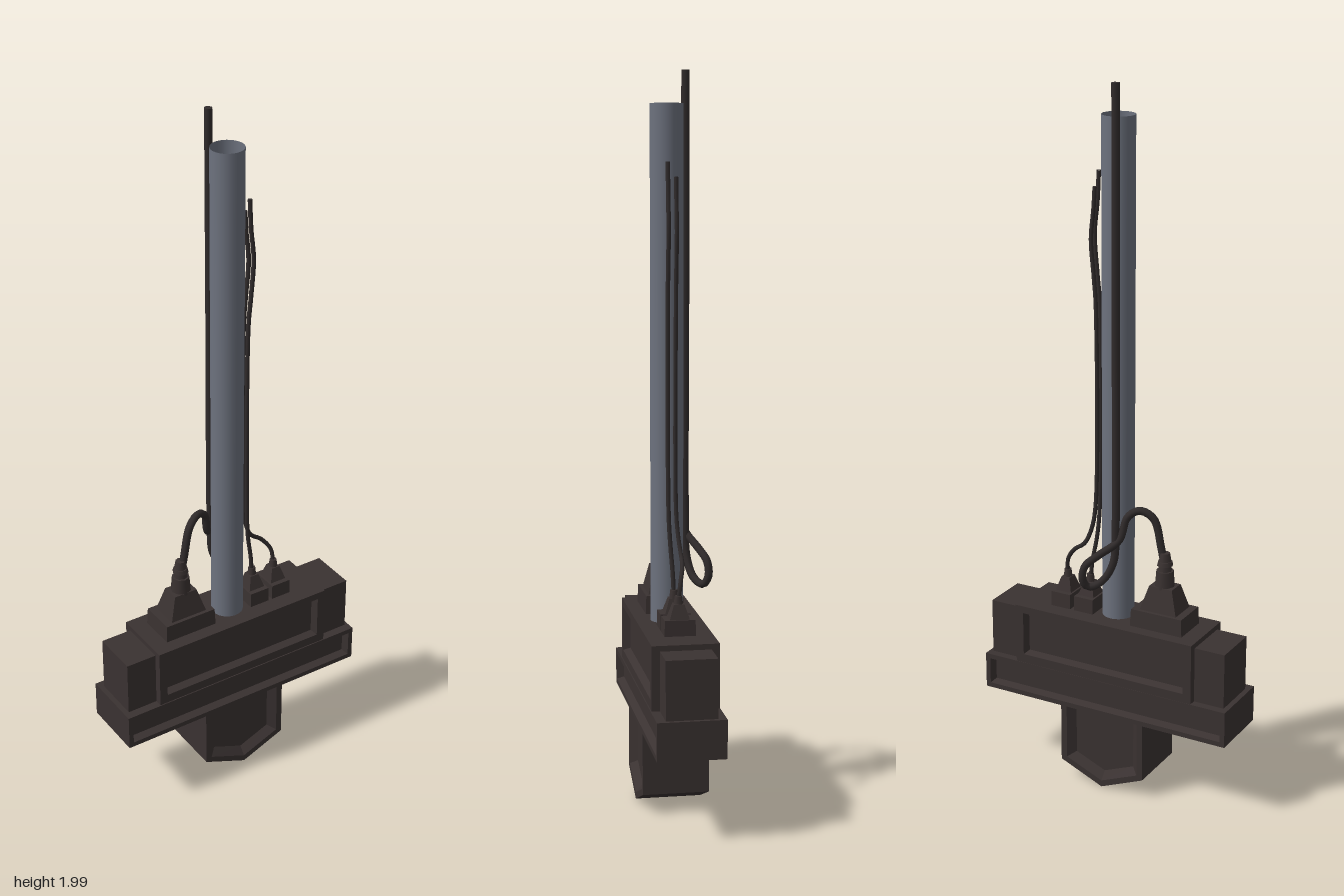
import * as THREE from 'three';

const mat = (name, color, side = THREE.FrontSide) => {
  const m = new THREE.MeshStandardMaterial({ color, side });
  m.name = name;
  return m;
};

export function createModel() {
  const group = new THREE.Group();
  const body = mat('dark housing', 0x3a3231);
  const rubber = mat('cable rubber', 0x302b2b);
  const steel = mat('grey pole', 0x6d727e, THREE.DoubleSide);

  const add = (name, geo, material, x = 0, y = 0, z = 0, parent = group) => {
    const mesh = new THREE.Mesh(geo, material);
    mesh.name = name;
    mesh.position.set(x, y, z);
    parent.add(mesh);
    return mesh;
  };

  // Box given by its limits
  const box = (name, x0, x1, y0, y1, z0, z1) =>
    add(name, new THREE.BoxGeometry(x1 - x0, y1 - y0, z1 - z0), body,
      (x0 + x1) / 2, (y0 + y1) / 2, (z0 + z1) / 2);

  // Prism along z with a sunken, bevelled panel in its front and back
  const recessed = (name, outer, rim, floor, z0, z1, depth) => {
    const rings = [
      [floor, z0 + depth], [rim, z0], [outer, z0],
      [outer, z1], [rim, z1], [floor, z1 - depth],
    ].map(([pts, z]) => pts.map(([x, y]) => [x, y, z]));
    const n = outer.length, pos = [];
    const tri = (a, b, c) => pos.push(...a, ...b, ...c);
    for (let r = 0; r < rings.length - 1; r++) {
      const a = rings[r], b = rings[r + 1];
      for (let i = 0; i < n; i++) {
        const j = (i + 1) % n;
        tri(a[i], a[j], b[j]);
        tri(a[i], b[j], b[i]);
      }
    }
    const back = rings[0], front = rings[rings.length - 1];
    for (let i = 1; i < n - 1; i++) {
      tri(front[0], front[i], front[i + 1]);
      tri(back[0], back[i + 1], back[i]);
    }
    const geo = new THREE.BufferGeometry();
    geo.setAttribute('position', new THREE.Float32BufferAttribute(pos, 3));
    geo.computeVertexNormals();
    add(name, geo, body);
  };
  const rect = (x0, x1, y0, y1, d = 0) =>
    [[x0 + d, y0 + d], [x1 - d, y0 + d], [x1 - d, y1 - d], [x0 + d, y1 - d]];
  const pent = (w, top, shoulder, tip) =>
    [[-w, top], [-w, shoulder], [0, tip], [w, shoulder], [w, top]];

  // Housing: wide flange, middle block, end blocks and pointed lower block
  recessed('flange', rect(-0.385, 0.381, 0.235, 0.34),
    rect(-0.385, 0.381, 0.235, 0.34, 0.014), rect(-0.385, 0.381, 0.235, 0.34, 0.022), -0.083, 0.102, 0.02);
  recessed('middleBlock', rect(-0.28, 0.277, 0.34, 0.515),
    rect(-0.256, 0.253, 0.366, 0.494), rect(-0.248, 0.245, 0.374, 0.486), -0.082, 0.099, 0.02);
  for (const s of [-1, 1]) {
    const x = [s * 0.27, s * 0.37].sort((a, b) => a - b);
    box('endBlock', x[0], x[1], 0.338, 0.5, -0.06, 0.077);
  }
  recessed('lowerBlock', pent(0.131, 0.237, 0.063, 0.008),
    pent(0.113, 0.236, 0.074, 0.027), pent(0.092, 0.235, 0.088, 0.05), -0.081, 0.101, 0.02);

  // Open hollow pole
  add('pole', new THREE.CylinderGeometry(0.045, 0.045, 1.4, 24, 1, true), steel, -0.003, 1.212, 0.013);

  // Four-sided frustum for plug bodies
  const frustum = (bottom, top, h, depth) => {
    const g = new THREE.CylinderGeometry(top / Math.SQRT2, bottom / Math.SQRT2, h, 4).toNonIndexed();
    g.rotateY(Math.PI / 4);
    g.scale(1, 1, depth);
    g.computeVertexNormals();
    return g;
  };

  // Large plug with stepped strain relief
  const plug = new THREE.Group();
  plug.name = 'largePlug';
  plug.position.set(-0.152, 0.513, 0.007);
  group.add(plug);
  add('plugBase', frustum(0.16, 0.155, 0.052, 0.67), body, 0, 0.026, 0, plug);
  add('plugBody', frustum(0.112, 0.07, 0.07, 0.75), body, 0, 0.086, 0, plug);
  [[0.029, 0.025, 0.05, 0.14], [0.02, 0.018, 0.02, 0.172], [0.023, 0.02, 0.012, 0.187], [0.018, 0.014, 0.025, 0.204]]
    .forEach(([rb, rt, h, y]) => add('plugCollar', new THREE.CylinderGeometry(rt, rb, h, 8), body, 0, y, 0, plug));

  // Two small plugs
  for (const x of [0.084, 0.157]) {
    const small = new THREE.Group();
    small.name = 'smallPlug';
    small.position.set(x, 0.513, 0.008);
    group.add(small);
    add('plugBase', frustum(0.061, 0.06, 0.045, 1.38), body, 0, 0.0225, 0, small);
    add('plugBody', frustum(0.05, 0.026, 0.04, 1.1), body, 0, 0.064, 0, small);
    add('plugCollar', new THREE.CylinderGeometry(0.01, 0.013, 0.025, 8), body, 0, 0.093, 0, small);
  }

  // Tube with closed ends along a smooth path
  const cable = (name, points, radius, segments) => {
    const pts = points.map((p) => new THREE.Vector3(...p));
    const curve = new THREE.CatmullRomCurve3(pts);
    add(name, new THREE.TubeGeometry(curve, segments, radius, 8), rubber);
    for (const end of [pts[0], pts[pts.length - 1]]) {
      const cap = new THREE.CircleGeometry(radius, 8);
      cap.rotateX(end === pts[0] ? Math.PI / 2 : -Math.PI / 2);
      add(name + 'End', cap, rubber, end.x, end.y, end.z);
    }
  };

  // Thick cable: arches over, loops behind the pole and climbs its back
  cable('thickCable', [
    [-0.152, 0.68, 0.007], [-0.14, 0.74, 0.007], [-0.118, 0.825, 0.002], [-0.083, 0.846, -0.012],
    [-0.052, 0.825, -0.025], [-0.035, 0.76, -0.04], [0.015, 0.715, -0.072], [0.045, 0.685, -0.09],
    [0.051, 0.645, -0.093], [0.04, 0.62, -0.08], [0.01, 0.635, -0.058], [-0.018, 0.69, -0.044],
    [-0.024, 0.8, -0.041], [-0.024, 1.4, -0.041], [-0.024, 2, -0.041],
  ], 0.011, 160);

  // Thin cables beside the pole
  cable('thinCableFront', [
    [0.084, 0.6, 0.008], [0.078, 0.66, 0.01], [0.066, 0.73, 0.014], [0.059, 0.82, 0.018],
    [0.058, 1.4, 0.02], [0.065, 1.48, 0.02], [0.073, 1.59, 0.02], [0.064, 1.68, 0.02], [0.06, 1.76, 0.02],
  ], 0.006, 90);
  cable('thinCableBack', [
    [0.157, 0.6, 0.008], [0.153, 0.65, 0.002], [0.125, 0.69, -0.008], [0.092, 0.715, -0.01],
    [0.072, 0.76, -0.006], [0.061, 0.83, -0.002], [0.058, 1.4, -0.002], [0.064, 1.48, -0.002],
    [0.072, 1.58, -0.002], [0.064, 1.66, -0.002], [0.06, 1.72, -0.002],
  ], 0.006, 90);

  return group;
}
